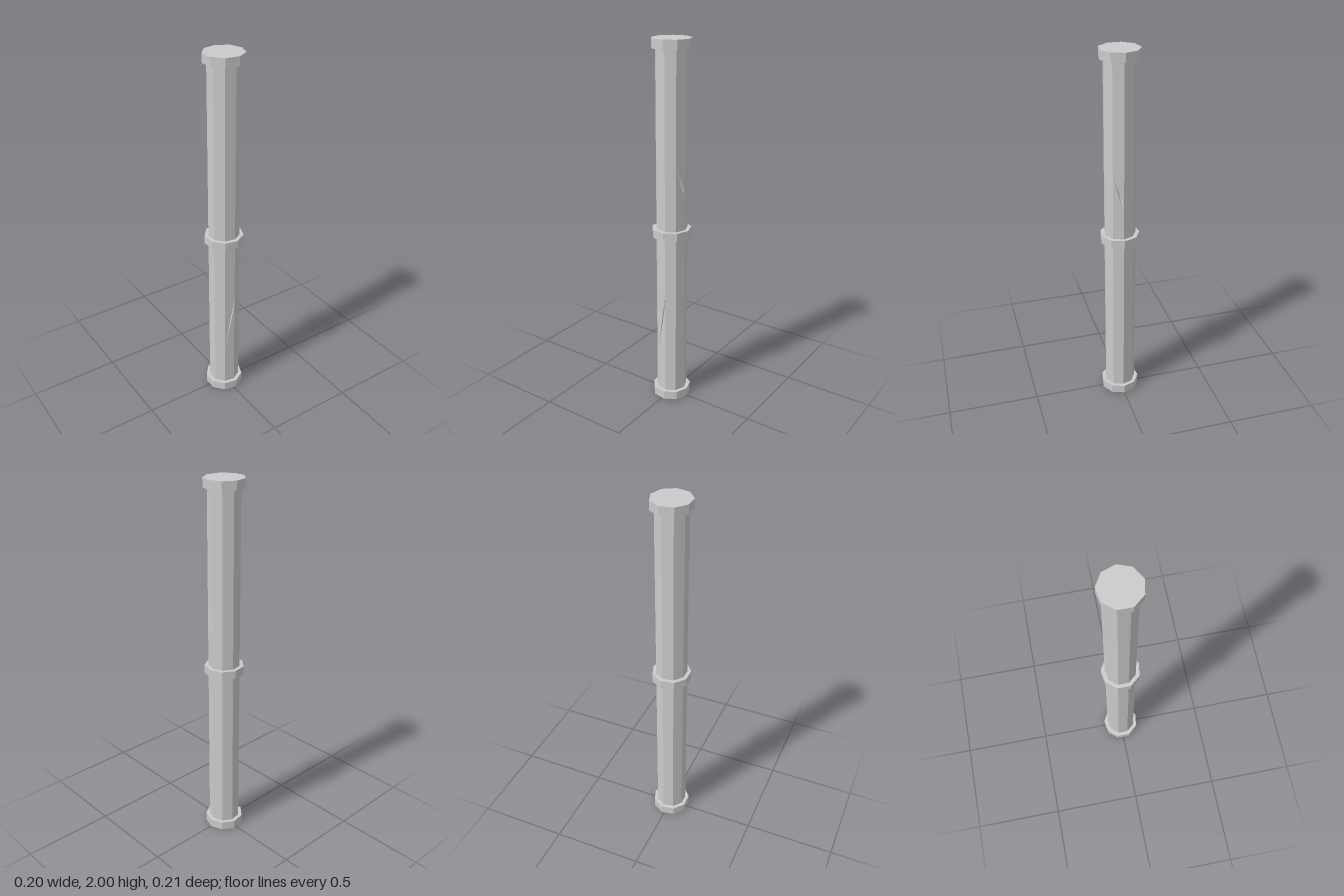
import * as THREE from 'three';

const SIDES = 9;
const STEP = (Math.PI * 2) / SIDES;
const CENTER_X = -0.003;
const SHAFT_R = 0.0845;
const COLLAR_R = 0.1055;

// Cracks by side number: corners (across, height), anticlockwise on the panel
const CRACKS = {
  0: [[-0.028, 1.36], [0.014, 1.22], [0.026, 1.23]],
  2: [[-0.0285, 0.285], [0.0283, 0.58], [0.0283, 0.635]],
};
const CRACK_DEPTH = 0.008;

export function createModel() {
  const group = new THREE.Group();
  const material = new THREE.MeshStandardMaterial({ color: 0xcccccc, flatShading: true });

  const add = (parent, geometry, name) => {
    const mesh = new THREE.Mesh(geometry, material);
    mesh.name = name;
    parent.add(mesh);
    return mesh;
  };

  // Flat shaft panels, two of them with a crack cut in
  const shaft = new THREE.Group();
  shaft.name = 'shaft';
  shaft.position.x = CENTER_X;
  group.add(shaft);
  const half = SHAFT_R * Math.sin(STEP / 2);
  const apothem = SHAFT_R * Math.cos(STEP / 2);
  for (let i = 0; i < SIDES; i++) {
    const side = new THREE.Group();
    side.name = 'shaftSide';
    side.rotation.y = Math.PI / 2 - (i + 0.5) * STEP;
    shaft.add(side);

    const outline = new THREE.Shape([
      new THREE.Vector2(-half, 0.02), new THREE.Vector2(half, 0.02),
      new THREE.Vector2(half, 1.98), new THREE.Vector2(-half, 1.98),
    ]);
    const crack = CRACKS[i];
    if (crack) {
      outline.holes.push(new THREE.Path(crack.map(([u, y]) => new THREE.Vector2(u, y))));

      // Sloping crack walls meeting at a deepest point
      const rim = crack.map(([u, y]) => new THREE.Vector3(u, y, 0));
      const deepest = new THREE.Vector3();
      rim.forEach((p) => deepest.addScaledVector(p, 1 / 3));
      deepest.z = -CRACK_DEPTH;
      const points = rim.flatMap((p, k) => [p, rim[(k + 1) % 3], deepest]);
      const walls = new THREE.BufferGeometry().setFromPoints(points);
      walls.computeVertexNormals();
      add(side, walls, 'crack').position.z = apothem;
    }
    add(side, new THREE.ShapeGeometry(outline), 'shaftPanel').position.z = apothem;
  }

  // Collars at the foot, middle and top
  for (const [name, bottom, top] of [
    ['footCollar', 0, 0.048],
    ['middleCollar', 0.968, 1.014],
    ['topCollar', 1.952, 2],
  ]) {
    const collar = add(group, new THREE.CylinderGeometry(
      COLLAR_R, COLLAR_R, top - bottom, SIDES, 1, false, Math.PI / 2), name);
    collar.position.set(CENTER_X, (bottom + top) / 2, 0);
  }

  return group;
}
